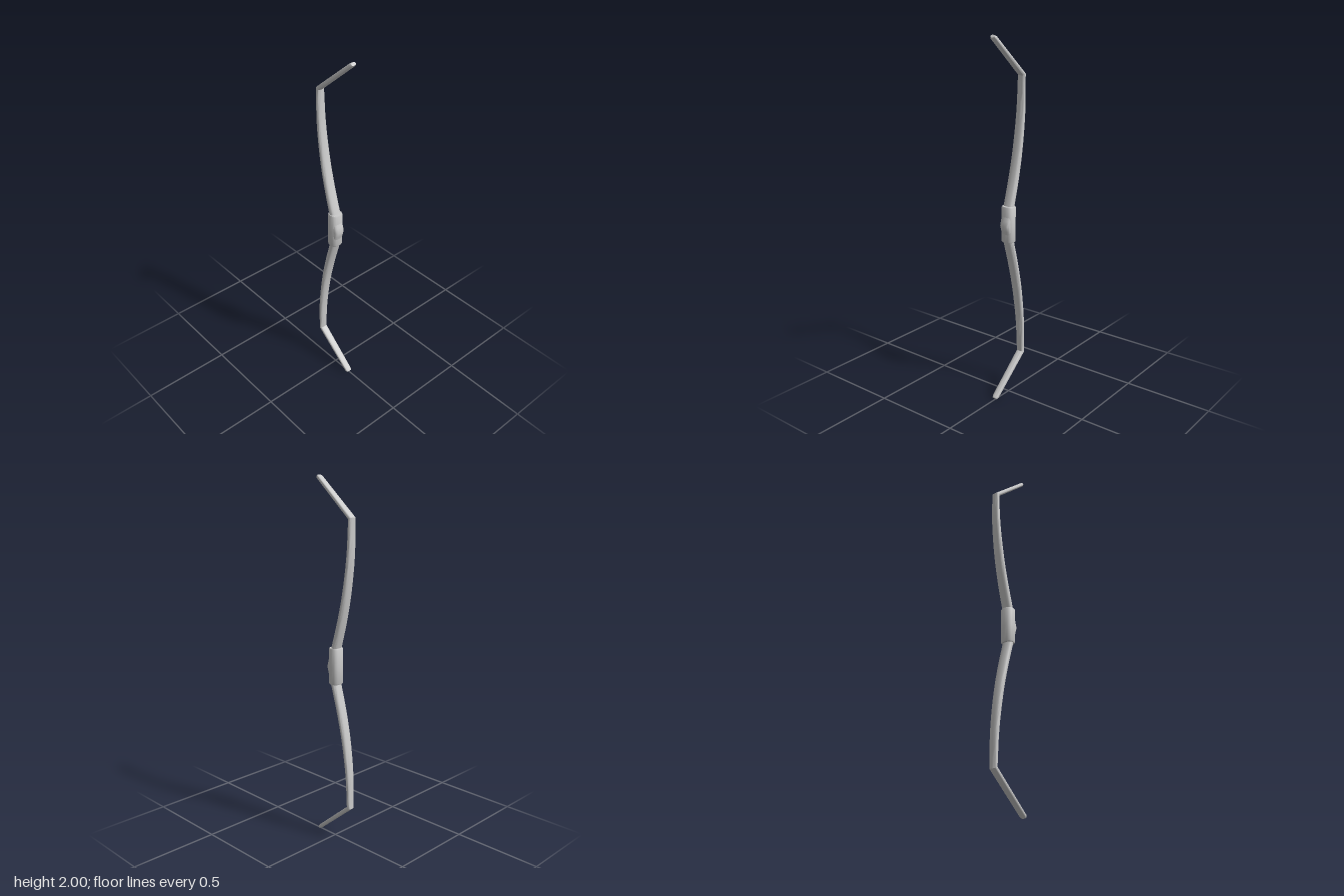
import * as THREE from 'three';
import { toCreasedNormals } from 'three/addons/utils/BufferGeometryUtils.js';

const SIDES = 16;
const CENTRE_X = -0.002;

// Sweep a rounded section along stations [y, z, halfWidth, halfThickness], bottom to top
function sweep(stations, roundness) {
  const pos = [], index = [];
  const dir = (a, b) => new THREE.Vector2(b[0] - a[0], b[1] - a[1]).normalize();
  const soft = (v) => Math.sign(v) * Math.pow(Math.abs(v), roundness);
  stations.forEach((s, i) => {
    const before = i > 0 ? dir(stations[i - 1], s) : dir(s, stations[i + 1]);
    const after = i < stations.length - 1 ? dir(s, stations[i + 1]) : before;
    const t = before.clone().add(after).normalize();
    const mitre = 1 / t.dot(before);
    for (let j = 0; j < SIDES; j++) {
      const a = (j / SIDES) * Math.PI * 2;
      const n = soft(Math.sin(a)) * s[3] * mitre;
      pos.push(CENTRE_X + soft(Math.cos(a)) * s[2], s[0] - t.y * n, s[1] + t.x * n);
    }
  });
  const last = stations.length - 1;
  for (let i = 0; i < last; i++) {
    for (let j = 0; j < SIDES; j++) {
      const a = i * SIDES + j, b = i * SIDES + (j + 1) % SIDES;
      index.push(a, a + SIDES, b, b, a + SIDES, b + SIDES);
    }
  }
  // end caps
  for (const [i, up] of [[0, false], [last, true]]) {
    const c = pos.length / 3;
    pos.push(CENTRE_X, stations[i][0], stations[i][1]);
    for (let j = 0; j < SIDES; j++) {
      const a = i * SIDES + j, b = i * SIDES + (j + 1) % SIDES;
      index.push(c, up ? b : a, up ? a : b);
    }
  }
  const geo = new THREE.BufferGeometry();
  geo.setAttribute('position', new THREE.Float32BufferAttribute(pos, 3));
  geo.setIndex(index);
  return toCreasedNormals(geo, 0.7);
}

export function createModel() {
  const group = new THREE.Group();
  const material = new THREE.MeshStandardMaterial({ color: 0xcccccc });
  const add = (name, geo) => {
    const mesh = new THREE.Mesh(geo, material);
    mesh.name = name;
    group.add(mesh);
  };

  // Upper half of the bow stave: grip centre, curved limb, sharp bend, straight tip
  const curve = new THREE.CatmullRomCurve3([
    [1.0, 0.023], [1.1, -0.005], [1.25, -0.047], [1.4, -0.08], [1.6, -0.107], [1.79, -0.114],
  ].map(([y, z]) => new THREE.Vector3(0, y, z)));
  const upper = curve.getPoints(20).map((p) => {
    const k = (p.y - 1) / 0.79;
    return [p.y, p.z, 0.031 - 0.009 * k * k, 0.02 - 0.008 * k];
  });
  upper.push([1.985, 0.115, 0.019, 0.011], [1.992, 0.1235, 0.014, 0.008]);

  // Mirror for the lower half and sweep the stave in one piece
  const lower = upper.slice(1).reverse().map(([y, ...rest]) => [2 - y, ...rest]);
  add('bowStave', sweep([...lower, ...upper], 0.75));

  // Wrapped grip around the middle of the stave
  add('gripWrap', sweep([
    [0.905, -0.003, 0.034, 0.03],
    [0.912, -0.003, 0.037, 0.033],
    [1.0, -0.003, 0.037, 0.033],
    [1.098, -0.003, 0.037, 0.033],
    [1.105, -0.003, 0.034, 0.03],
  ], 0.75));

  return group;
}
